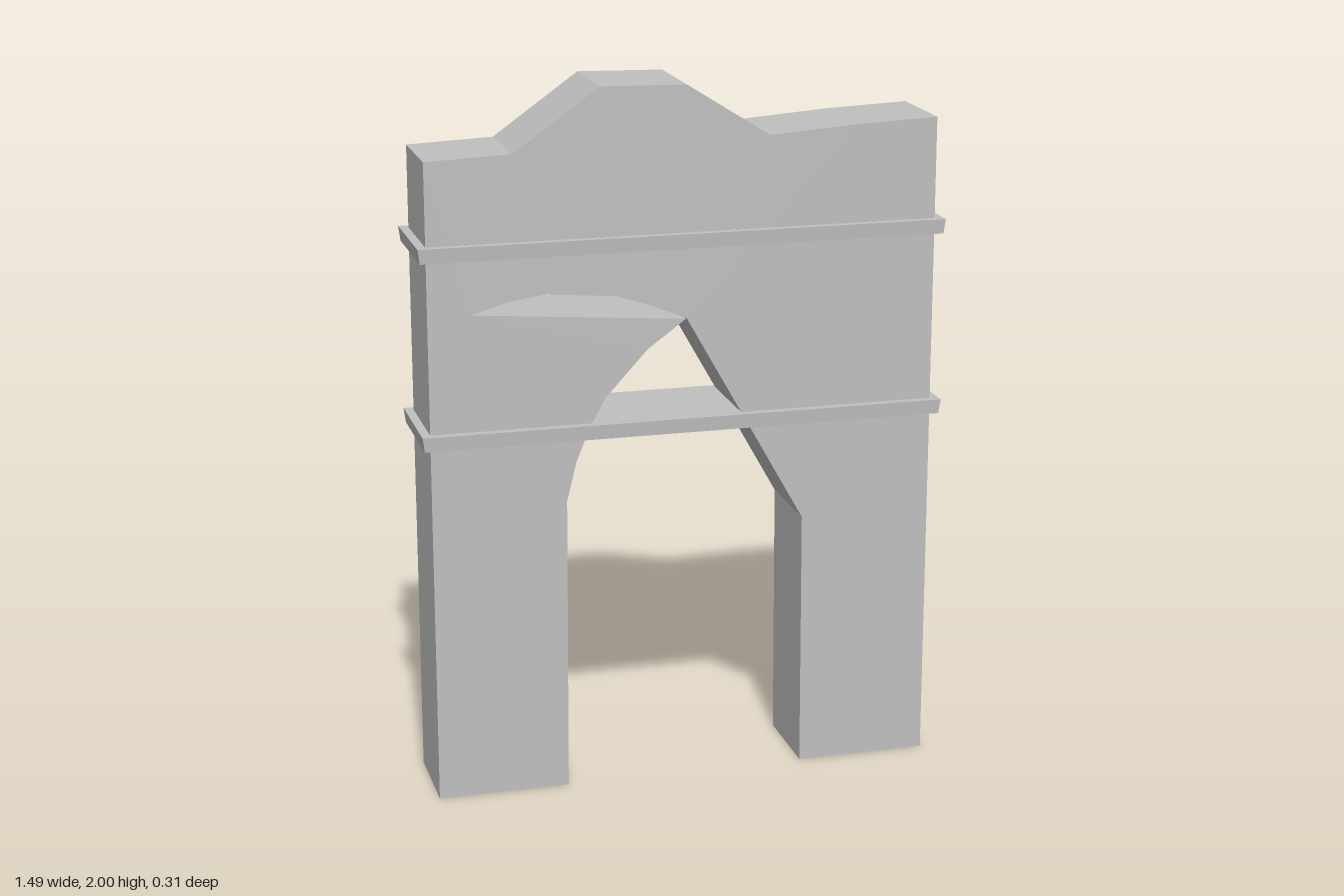
import * as THREE from 'three';

export function createModel() {
  const group = new THREE.Group();
  const stone = new THREE.MeshStandardMaterial({ color: 0xc0c0c0 });
  stone.name = 'grey stone';

  // Gateway wall: stepped gable on top, arch below, crescent slit meeting the arch apex
  const outline = [
    [-0.72, 0], [-0.347, 0], [-0.342, 0.85], [-0.315, 0.96], [-0.275, 1.06],
    [-0.23, 1.14], [-0.11, 1.27], [-0.002, 1.348],
    [-0.6, 1.397], [-0.5, 1.427], [-0.4, 1.442], [-0.2, 1.425], [-0.1, 1.392], [0, 1.35],
    [0.2, 0.995], [0.34, 0.745], [0.343, 0],
    [0.716, 0], [0.716, 1.875], [0.48, 1.865], [0.235, 1.847],
    [0, 1.995], [-0.24, 2], [-0.48, 1.83], [-0.72, 1.82],
  ];
  const shape = new THREE.Shape(outline.map(([x, y]) => new THREE.Vector2(x, y)));
  const depth = 0.262;
  const wallGeometry = new THREE.ExtrudeGeometry(shape, { depth, bevelEnabled: false });
  wallGeometry.translate(0, 0, -depth / 2);
  const wall = new THREE.Mesh(wallGeometry, stone);
  wall.name = 'archWall';
  group.add(wall);

  // Solid string courses, slightly wider at the top edge
  const addBand = (name, y) => {
    const geometry = new THREE.BoxGeometry(1.485, 0.041, 0.31);
    const p = geometry.attributes.position;
    for (let i = 0; i < p.count; i++) {
      if (p.getY(i) < 0) p.setXYZ(i, p.getX(i) * 0.993, p.getY(i), p.getZ(i) * 0.98);
    }
    geometry.computeVertexNormals();
    const band = new THREE.Mesh(geometry, stone);
    band.name = name;
    band.position.set(-0.002, y, 0);
    group.add(band);
  };
  addBand('lowerBand', 1.049);
  addBand('upperBand', 1.57);

  return group;
}
